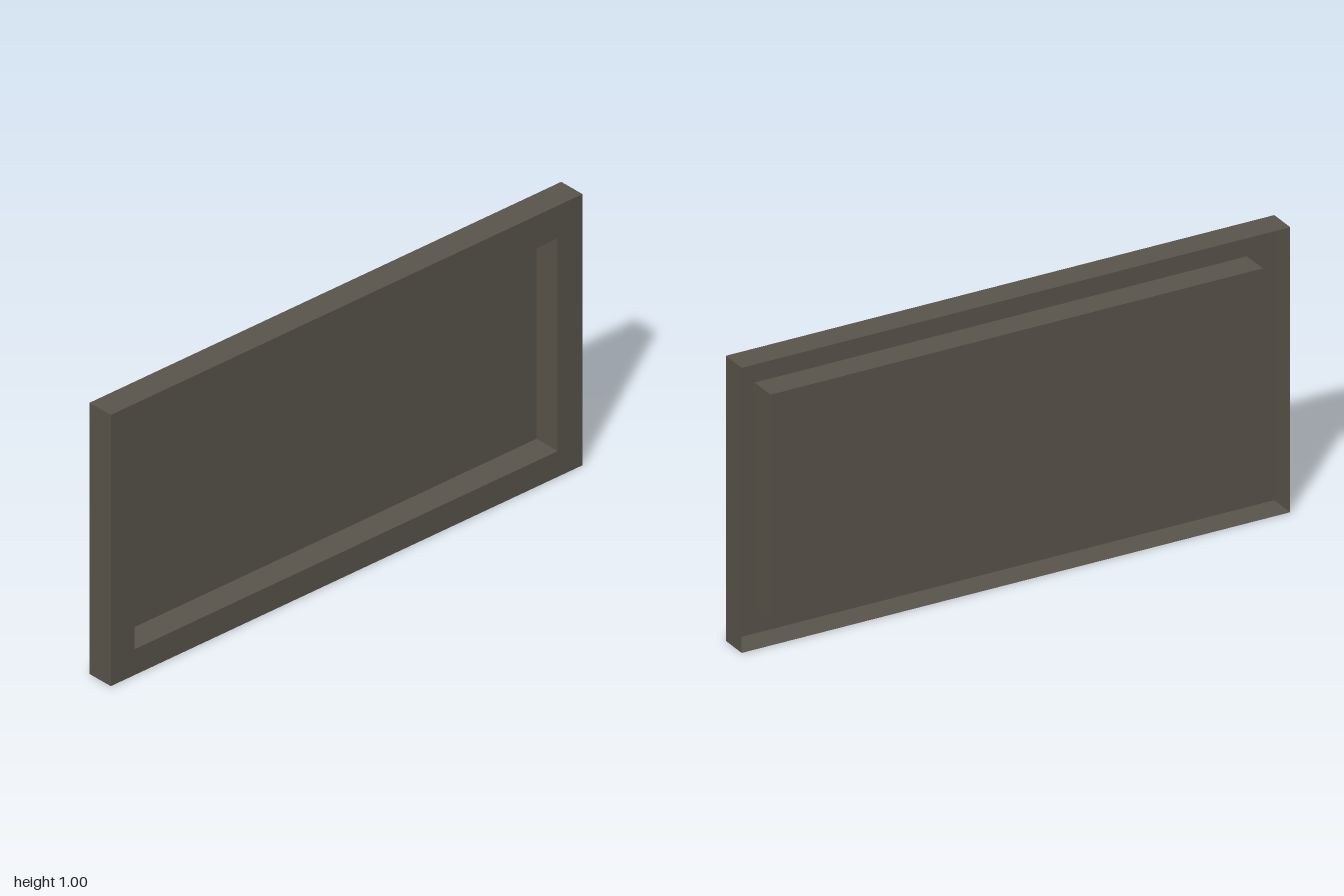
import * as THREE from 'three';

// Rectangle loop, counter-clockwise seen from the front
const rect = (x0, x1, y0, y1, z) => [[x0, y0, z], [x1, y0, z], [x1, y1, z], [x0, y1, z]];

// Four flat quads joining two rectangle loops
function band(a, b) {
  const pos = [];
  for (let i = 0; i < 4; i++) {
    const j = (i + 1) % 4;
    pos.push(...a[i], ...a[j], ...b[j], ...a[i], ...b[j], ...b[i]);
  }
  const geo = new THREE.BufferGeometry();
  geo.setAttribute('position', new THREE.Float32BufferAttribute(pos, 3));
  geo.computeVertexNormals();
  return geo;
}

export function createModel() {
  const group = new THREE.Group();
  group.name = 'recessedPanel';
  const material = new THREE.MeshStandardMaterial({ color: 0x5a554b, side: THREE.DoubleSide });
  material.name = 'darkTaupe';

  const add = (name, geo) => {
    const mesh = new THREE.Mesh(geo, material);
    mesh.name = name;
    group.add(mesh);
    return mesh;
  };

  const front = 0.05, back = -0.05;
  const [x0, x1, y0, y1] = [-0.9, 0.895, 0.095, 0.88];
  const outer = z => rect(-1, 1, 0, 1, z);
  const opening = z => rect(x0, x1, y0, y1, z);

  // Thin pressed shell, open at the back around the recess
  add('outerSides', band(outer(back), outer(front)));
  add('frontFrame', band(outer(front), opening(front)));
  add('recessWalls', band(opening(front), opening(back)));

  // Floor of the recess
  const floor = add('recessFloor', new THREE.PlaneGeometry(x1 - x0, y1 - y0));
  floor.position.set((x0 + x1) / 2, (y0 + y1) / 2, back);

  return group;
}
